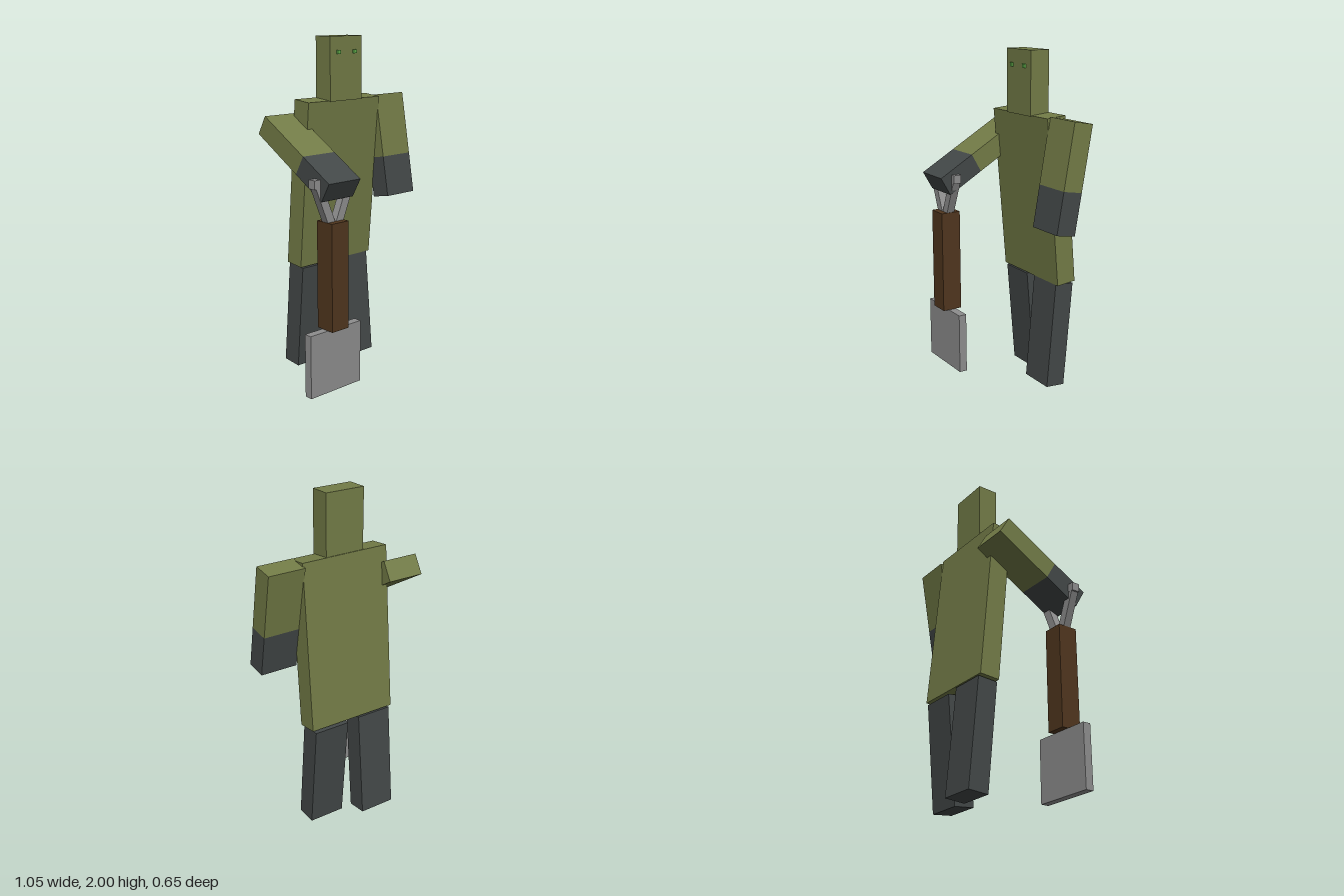
import * as THREE from 'three';

const mat = (color) => new THREE.MeshStandardMaterial({ color, flatShading: true });
const skin = mat(0x737c47);
const cloth = mat(0x434848);
const wood = mat(0x50361e);
const metal = mat(0x8e8e8e);
const eyeGreen = mat(0x62b04c);

const DEPTH = 0.123; // shared thickness of body and limbs

function box(parent, name, material, size, position) {
  const mesh = new THREE.Mesh(new THREE.BoxGeometry(...size), material);
  mesh.name = name;
  mesh.position.set(...position);
  parent.add(mesh);
  return mesh;
}

// Arm: sleeve plus dark forearm along its own y axis, swung about x
function arm(parent, name, x, y, z, degrees) {
  const group = new THREE.Group();
  group.name = name;
  group.position.set(x, y, z);
  group.rotation.x = THREE.MathUtils.degToRad(degrees);
  box(group, 'upperArm', skin, [0.229, 0.379, DEPTH], [0, 0.122, 0]);
  box(group, 'forearm', cloth, [0.229, 0.244, DEPTH], [0, -0.1895, 0]);
  parent.add(group);
}

// Leg: hangs from the hip and swings about x
function leg(parent, name, x, degrees) {
  const hip = new THREE.Group();
  hip.name = name;
  hip.position.set(x, 0.645, -0.211);
  hip.rotation.x = THREE.MathUtils.degToRad(degrees);
  box(hip, name + 'Block', cloth, [0.223, 0.64, DEPTH], [0, -0.32, 0]);
  parent.add(hip);
}

// Spade with a wide blade, square shaft and forked grip
function spade() {
  const group = new THREE.Group();
  group.name = 'spade';
  group.position.set(-0.343, 0, 0.232);
  box(group, 'blade', metal, [0.375, 0.37, 0.049], [0, 0.215, 0]);
  box(group, 'shaft', wood, [0.123, 0.62, 0.123], [0, 0.71, 0]);
  box(group, 'gripBar', metal, [0.299, 0.05, 0.049], [0, 1.24, 0]);
  for (const side of [-1, 1]) {
    const strut = box(group, 'gripStrut', metal, [0.05, 0.25, 0.048], [side * 0.07, 1.115, 0]);
    strut.rotation.z = -side * Math.atan2(0.095, 0.23);
  }
  return group;
}

export function createModel() {
  const model = new THREE.Group();
  model.name = 'figureWithSpade';

  // Head and eyes
  box(model, 'head', skin, [0.246, 0.37, 0.124], [0.022, 1.815, -0.117]);
  for (const side of [-1, 1]) {
    box(model, 'eye', eyeGreen, [0.022, 0.022, 0.025], [0.022 + side * 0.062, 1.91, -0.055]);
  }

  // Torso leaning slightly forward
  const torso = box(model, 'torso', skin, [0.56, 0.99, DEPTH], [0.021, 1.147, -0.1665]);
  torso.rotation.x = THREE.MathUtils.degToRad(5);

  // Limbs
  arm(model, 'leftArm', 0.409, 1.3265, -0.089, -10);
  arm(model, 'rightArm', -0.338, 1.353, 0.025, -60);
  leg(model, 'leftLeg', 0.169, -5);
  leg(model, 'rightLeg', -0.131, 5);

  model.add(spade());
  return model;
}
